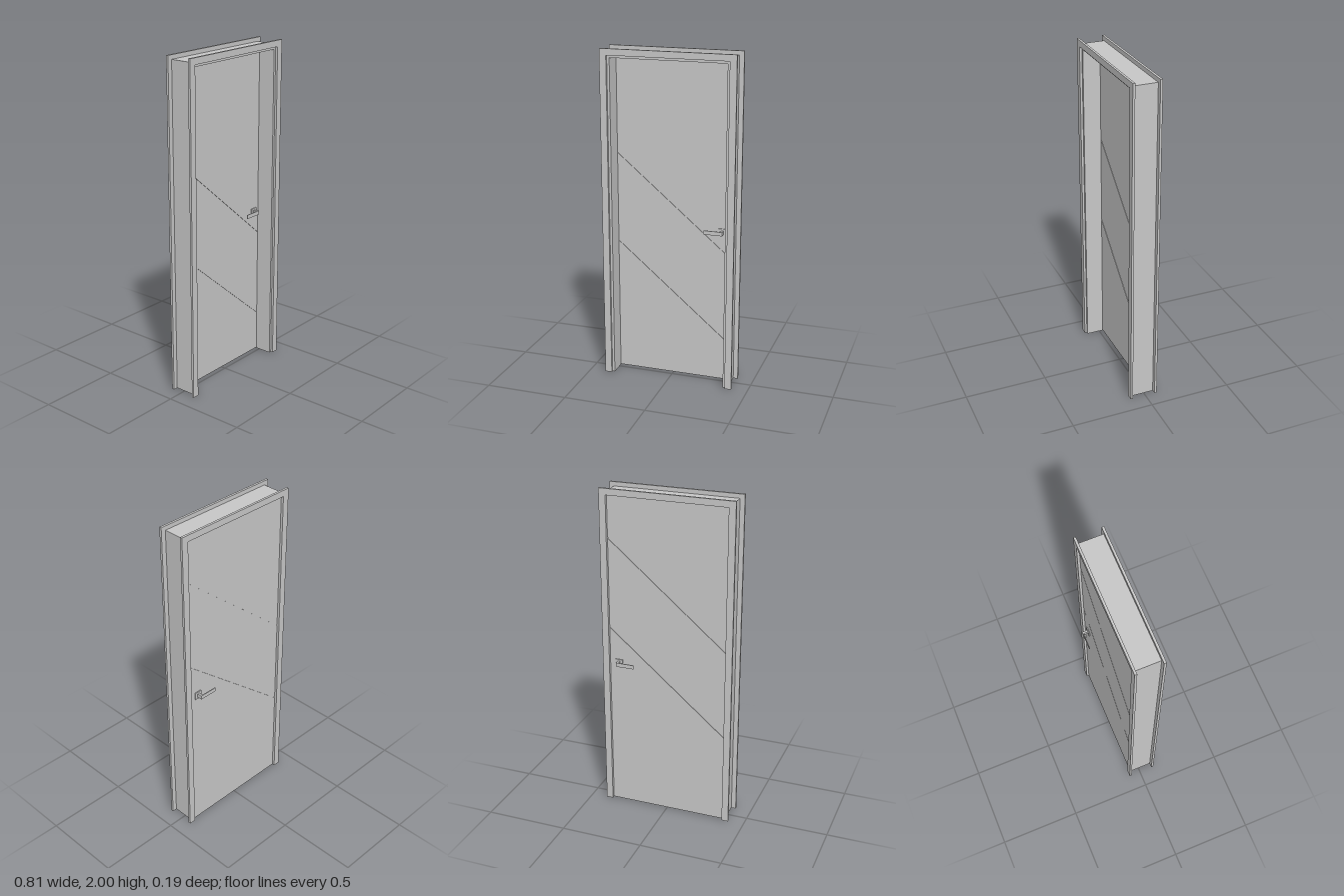
import * as THREE from 'three';

const H = 2, OUT = 0.403, JAMB = 0.375, REBATE = 0.362, STOP = 0.347;
const DOOR_BACK = -0.06, DOOR_FRONT = -0.024, SKIN = 0.004;

export function createModel() {
  const root = new THREE.Group();
  const grey = new THREE.MeshStandardMaterial({ color: 0xc8c8c8 });
  grey.name = 'light grey';

  const add = (geo, name, parent = root) => {
    const mesh = new THREE.Mesh(geo, grey);
    mesh.name = name;
    parent.add(mesh);
    return mesh;
  };
  const polygon = (pts) => new THREE.Shape(pts.map(([x, y]) => new THREE.Vector2(x, y)));
  const slab = (shape, z0, z1) =>
    new THREE.ExtrudeGeometry(shape, { depth: z1 - z0, bevelEnabled: false, curveSegments: 8 }).translate(0, 0, z0);
  // Upside-down U: two legs and a head, open at the floor
  const portal = (outer, top, inner, innerTop) => polygon([
    [-outer, 0], [-inner, 0], [-inner, innerTop], [inner, innerTop],
    [inner, 0], [outer, 0], [outer, top], [-outer, top],
  ].reverse());

  // Casing trims on both wall faces
  const trim = portal(OUT, H, REBATE, 1.962);
  add(slab(trim, 0.082, 0.096), 'frontTrim');
  add(slab(trim, -0.074, -0.06), 'backTrim');

  // Jamb lining with a rebate that the door closes into
  add(slab(portal(JAMB, 1.975, STOP, 1.947), DOOR_FRONT, 0.082), 'jambLining');
  add(slab(portal(JAMB, 1.975, REBATE, 1.962), -0.06, DOOR_FRONT), 'jambRebate');

  // Door leaf: a core, with face panels that leave diagonal grooves between them
  const door = new THREE.Group();
  door.name = 'door';
  root.add(door);
  const w = 0.36, bottom = 0.004, top = 1.96, gap = 0.004;
  add(slab(polygon([[-w, bottom], [w, bottom], [w, top], [-w, top]]), DOOR_BACK + SKIN, DOOR_FRONT - SKIN), 'doorCore', door);

  const panels = (name, slope, heights, z0, z1) => {
    const line = (y, d) => [y - slope * w + d, y + slope * w + d];
    const edges = [[bottom, bottom]];
    heights.forEach((y) => edges.push(line(y, -gap), line(y, gap)));
    edges.push([top, top]);
    for (let i = 0; i < edges.length; i += 2) {
      const [a, b] = [edges[i], edges[i + 1]];
      add(slab(polygon([[-w, a[0]], [w, a[1]], [w, b[1]], [-w, b[0]]]), z0, z1), name, door);
    }
  };
  panels('frontPanel', -0.84, [0.539, 1.086], DOOR_FRONT - SKIN, DOOR_FRONT);
  panels('backPanel', 0.84, [0.864, 1.41], DOOR_BACK, DOOR_BACK + SKIN);

  // Lever handles: an L-shaped bar with a rounded inner corner, on a square plate
  const reach = 0.037, leverH = 0.024, leverY = 0.943;
  const bar = new THREE.Shape();
  bar.moveTo(0.31, 0);
  bar.lineTo(0.31, reach);
  bar.lineTo(0.198, reach);
  bar.lineTo(0.198, reach - 0.005);
  bar.lineTo(0.288, reach - 0.005);
  bar.quadraticCurveTo(0.297, reach - 0.005, 0.297, reach - 0.014);
  bar.lineTo(0.297, 0);
  bar.closePath();
  for (const [side, dir, z] of [['front', 1, DOOR_FRONT], ['back', -1, DOOR_BACK]]) {
    const handle = new THREE.Group();
    handle.name = side + 'Handle';
    handle.position.set(0, leverY, z);
    add(slab(bar, -leverH / 2, leverH / 2).rotateX(dir * Math.PI / 2), 'lever', handle);
    add(new THREE.BoxGeometry(0.045, 0.045, 0.006).translate(0.303, 0, dir * 0.003), 'plate', handle);
    root.add(handle);
  }
  return root;
}
